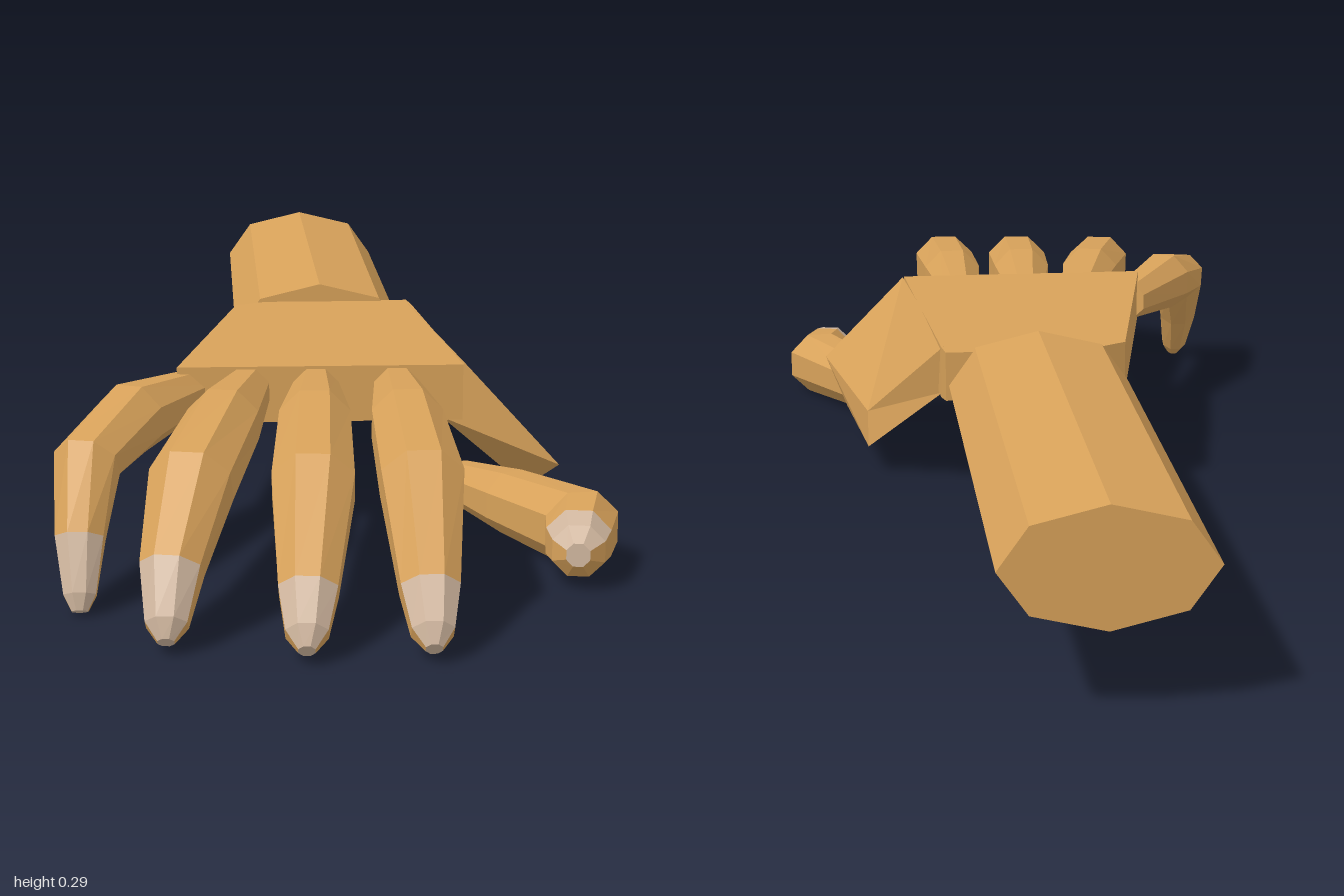
import * as THREE from 'three';

const skin = new THREE.MeshStandardMaterial({ color: 0xd8a25a });
skin.name = 'skin';
const nail = new THREE.MeshStandardMaterial({ color: 0xd2b8a0 });
nail.name = 'nail';

const V = (x, y, z) => new THREE.Vector3(x, y, z);

// Flat-faced skin over matching rings, with capped ends; nailFace(i, k) picks pale facets
function loft(name, rings, nailFace = () => false) {
  const faces = [[], []];
  const n = rings[0].length, last = rings.length - 1;
  const tri = (m, ...pts) => pts.forEach(p => faces[m].push(p.x, p.y, p.z));
  for (let i = 0; i < last; i++) {
    for (let k = 0; k < n; k++) {
      const j = (k + 1) % n, m = nailFace(i, k) ? 1 : 0;
      tri(m, rings[i][k], rings[i][j], rings[i + 1][j]);
      tri(m, rings[i][k], rings[i + 1][j], rings[i + 1][k]);
    }
  }
  for (let k = 1; k < n - 1; k++) {
    tri(0, rings[0][0], rings[0][k + 1], rings[0][k]);
    tri(nailFace(last, k) ? 1 : 0, rings[last][0], rings[last][k], rings[last][k + 1]);
  }
  const geometry = new THREE.BufferGeometry();
  geometry.setAttribute('position', new THREE.Float32BufferAttribute([...faces[0], ...faces[1]], 3));
  geometry.addGroup(0, faces[0].length / 3, 0);
  if (faces[1].length) geometry.addGroup(faces[0].length / 3, faces[1].length / 3, 1);
  geometry.computeVertexNormals();
  const mesh = new THREE.Mesh(geometry, [skin, nail]);
  mesh.name = name;
  return mesh;
}

// Eight-sided digit along joints given as [x, y, z, radius]
function digit(name, joints) {
  const c = joints.map(j => V(j[0], j[1], j[2]));
  const rings = joints.map((j, i) => {
    const t = V(0, 0, 0);
    if (i > 0) t.add(c[i].clone().sub(c[i - 1]).normalize());
    if (i < c.length - 1) t.add(c[i + 1].clone().sub(c[i]).normalize());
    t.normalize();
    const u = V(0, 1, 0).cross(t).normalize();
    const v = t.clone().cross(u);
    return Array.from({ length: 8 }, (_, k) => {
      const a = (k + 0.5) * Math.PI / 4;
      return c[i].clone()
        .addScaledVector(u, j[3] * Math.cos(a))
        .addScaledVector(v, j[3] * Math.sin(a));
    });
  });
  const end = joints.length - 1;
  // the nail covers the outer three facets of the last two segments and the tip
  return loft(name, rings, (i, k) => i === end || (i >= end - 2 && k < 3));
}

export function createModel() {
  const hand = new THREE.Group();
  hand.name = 'hand';

  // Forearm: flattened octagonal prism
  const armRing = z => Array.from({ length: 8 }, (_, k) => {
    const a = k * Math.PI / 4;
    return V(0.145 * Math.cos(a), 0.21 + 0.085 * Math.sin(a), z);
  });
  hand.add(loft('forearm', [armRing(-1), armRing(-0.14)]));

  // Palm: slab widening from the wrist to the knuckles
  const slab = (x0, x1, z, y0 = 0.18) =>
    [V(x1, y0, z), V(x1, 0.265, z), V(x0, 0.265, z), V(x0, y0, z)];
  hand.add(loft('palm', [
    slab(-0.08, 0.15, -0.148, 0.185),
    slab(-0.145, 0.155, -0.11),
    slab(-0.24, 0.19, 0.39),
  ]));

  // Thumb base: wedge falling away from the palm
  hand.add(loft('thumbBase', [
    [V(0.15, 0.18, -0.08), V(0.27, 0.05, 0.05), V(0.27, 0.11, 0.06), V(0.15, 0.266, -0.11)],
    [V(0.16, 0.18, 0.37), V(0.3, 0.05, 0.3), V(0.335, 0.113, 0.41), V(0.193, 0.266, 0.38)],
  ]));

  // Fingers and thumb
  hand.add(digit('indexFinger', [
    [0.09, 0.228, 0.36, 0.034], [0.09, 0.219, 0.57, 0.055], [0.09, 0.193, 0.8, 0.06],
    [0.09, 0.083, 0.92, 0.042], [0.09, 0.04, 0.965, 0.03], [0.09, 0.024, 0.985, 0.012],
  ]));
  hand.add(digit('middleFinger', [
    [-0.03, 0.228, 0.36, 0.034], [-0.042, 0.219, 0.57, 0.055], [-0.055, 0.19, 0.8, 0.06],
    [-0.067, 0.083, 0.92, 0.042], [-0.071, 0.04, 0.965, 0.03], [-0.072, 0.024, 0.985, 0.012],
  ]));
  hand.add(digit('ringFinger', [
    [-0.13, 0.228, 0.36, 0.034], [-0.172, 0.219, 0.56, 0.055], [-0.217, 0.19, 0.78, 0.06],
    [-0.243, 0.1, 0.87, 0.044], [-0.25, 0.04, 0.92, 0.03], [-0.251, 0.022, 0.937, 0.012],
  ]));
  hand.add(digit('littleFinger', [
    [-0.215, 0.22, 0.35, 0.034], [-0.305, 0.217, 0.51, 0.053], [-0.362, 0.19, 0.66, 0.048],
    [-0.37, 0.1, 0.722, 0.036], [-0.37, 0.03, 0.758, 0.024], [-0.37, 0.01, 0.768, 0.012],
  ]));
  hand.add(digit('thumb', [
    [0.195, 0.06, 0.3, 0.034], [0.262, 0.06, 0.42, 0.05], [0.345, 0.059, 0.57, 0.059],
    [0.329, 0.06, 0.64, 0.05], [0.322, 0.06, 0.685, 0.04], [0.318, 0.06, 0.706, 0.018],
  ]));
  return hand;
}
